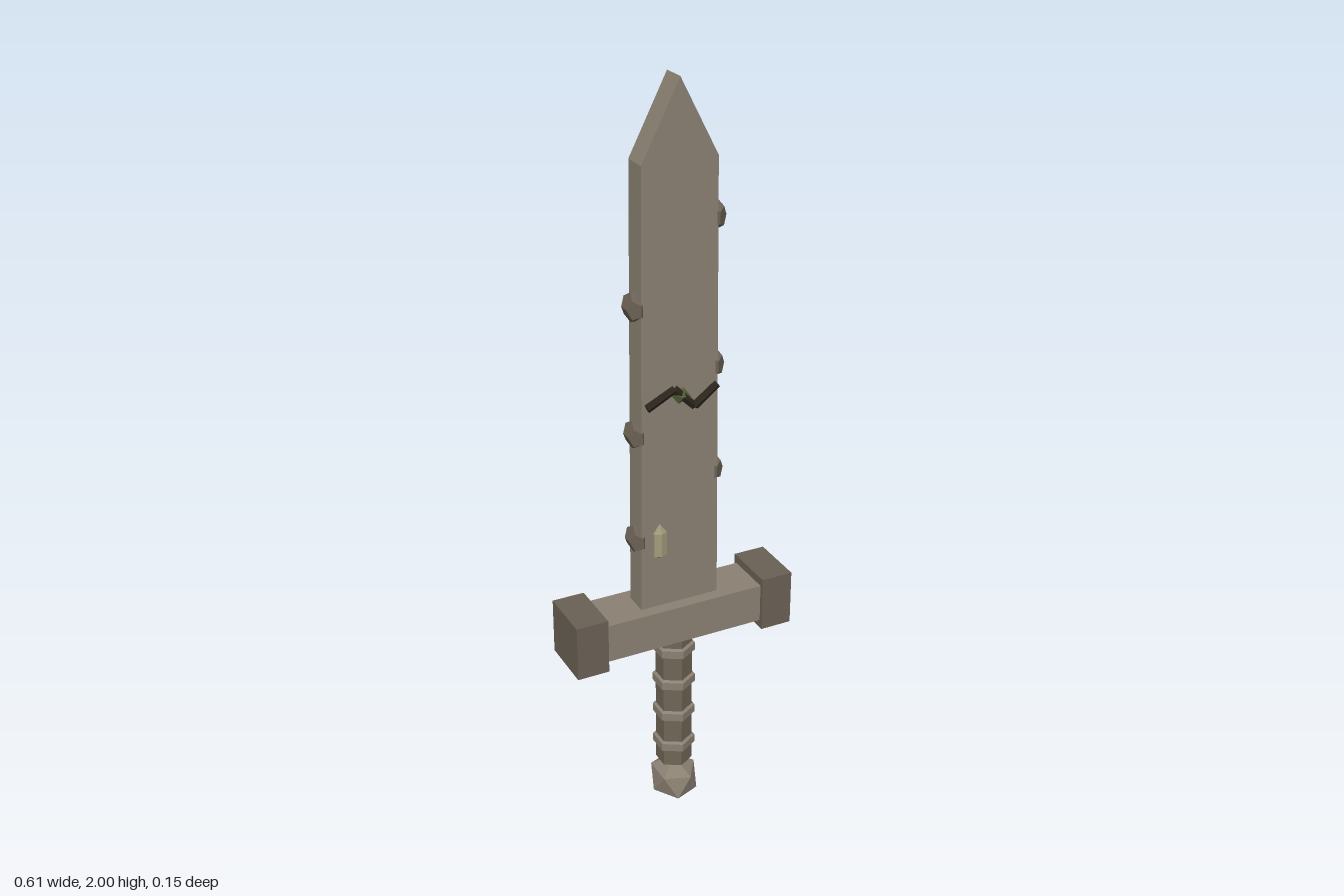
import * as THREE from 'three';

const mat = (color) => new THREE.MeshStandardMaterial({ color, flatShading: true });
const stone = mat(0x8a8072), darkStone = mat(0x6a6054), gripMat = mat(0x6f6555);
const crackMat = mat(0x2c251d), mossMat = mat(0x56663a), boneMat = mat(0xa39a7c);

export function createModel() {
  const root = new THREE.Group();
  root.name = 'sword';
  const add = (name, geometry, material, x = 0, y = 0, z = 0) => {
    const mesh = new THREE.Mesh(geometry, material);
    mesh.name = name;
    mesh.position.set(x, y, z);
    root.add(mesh);
    return mesh;
  };
  const lathe = (points) => new THREE.LatheGeometry(points.map(([r, y]) => new THREE.Vector2(r, y)), 6);

  // Blade: tapering slab with a wedge tip
  const outline = new THREE.Shape();
  outline.moveTo(-0.108, 0.64);
  outline.lineTo(0.108, 0.64);
  outline.lineTo(0.098, 1.81);
  outline.lineTo(0, 2);
  outline.lineTo(-0.098, 1.81);
  outline.closePath();
  const blade = new THREE.ExtrudeGeometry(outline, { depth: 0.066, bevelEnabled: false });
  add('blade', blade, stone, 0, 0, -0.033);

  // Crossguard with block ends
  add('crossguard', new THREE.BoxGeometry(0.46, 0.105, 0.132), stone, 0, 0.599);
  for (const s of [-1, 1]) {
    add('guardEnd', new THREE.BoxGeometry(0.086, 0.15, 0.152), darkStone, s * 0.263, 0.599);
  }

  // Six-sided grip with raised bands
  add('grip', new THREE.CylinderGeometry(0.048, 0.048, 0.42, 6), gripMat, 0, 0.345);
  const band = lathe([[0.044, -0.018], [0.056, -0.011], [0.056, 0.011], [0.044, 0.018]]);
  for (const y of [0.197, 0.296, 0.395, 0.494]) add('gripBand', band, stone, 0, y);

  // Faceted pommel, standing on a vertex
  const pommelGeo = new THREE.IcosahedronGeometry(0.066, 0);
  pommelGeo.rotateZ(-0.5536);
  pommelGeo.scale(1.03, 1, 1.16);
  add('pommel', pommelGeo, stone, 0, 0.07);

  // Faceted studs alternating along both edges
  const stud = new THREE.DodecahedronGeometry(0.04, 0);
  stud.scale(0.75, 1, 1);
  for (const y of [1, 1.285, 1.66]) add('edgeStud', stud, darkStone, 0.102, y);
  for (const y of [0.845, 1.135, 1.465]) add('edgeStud', stud, darkStone, -0.102, y);

  // Zigzag crack, moss lump and pointed inlay on each face
  const zigzag = [[-0.09, 1.213], [-0.016, 1.25], [0.038, 1.196], [0.1, 1.242]];
  const moss = new THREE.OctahedronGeometry(0.03, 0);
  moss.scale(1, 0.75, 0.5);
  const inlay = lathe([[0, -0.05], [0.02, -0.042], [0.02, 0.022], [0, 0.046]]);
  inlay.scale(1, 1, 0.6);
  for (const s of [-1, 1]) {
    for (let i = 0; i < 3; i++) {
      const [x0, y0] = zigzag[i], [x1, y1] = zigzag[i + 1];
      const length = Math.hypot(x1 - x0, y1 - y0);
      const bar = add('crack', new THREE.CylinderGeometry(0.011, 0.012, length, 6), crackMat,
        (x0 + x1) / 2, (y0 + y1) / 2, s * 0.034);
      bar.rotation.z = Math.atan2(y1 - y0, x1 - x0) - Math.PI / 2;
    }
    add('moss', moss, mossMat, 0.002, 1.23, s * 0.034).rotation.z = -0.3;
    add('inlay', inlay, boneMat, -0.056, 0.843, s * 0.034);
  }
  return root;
}
